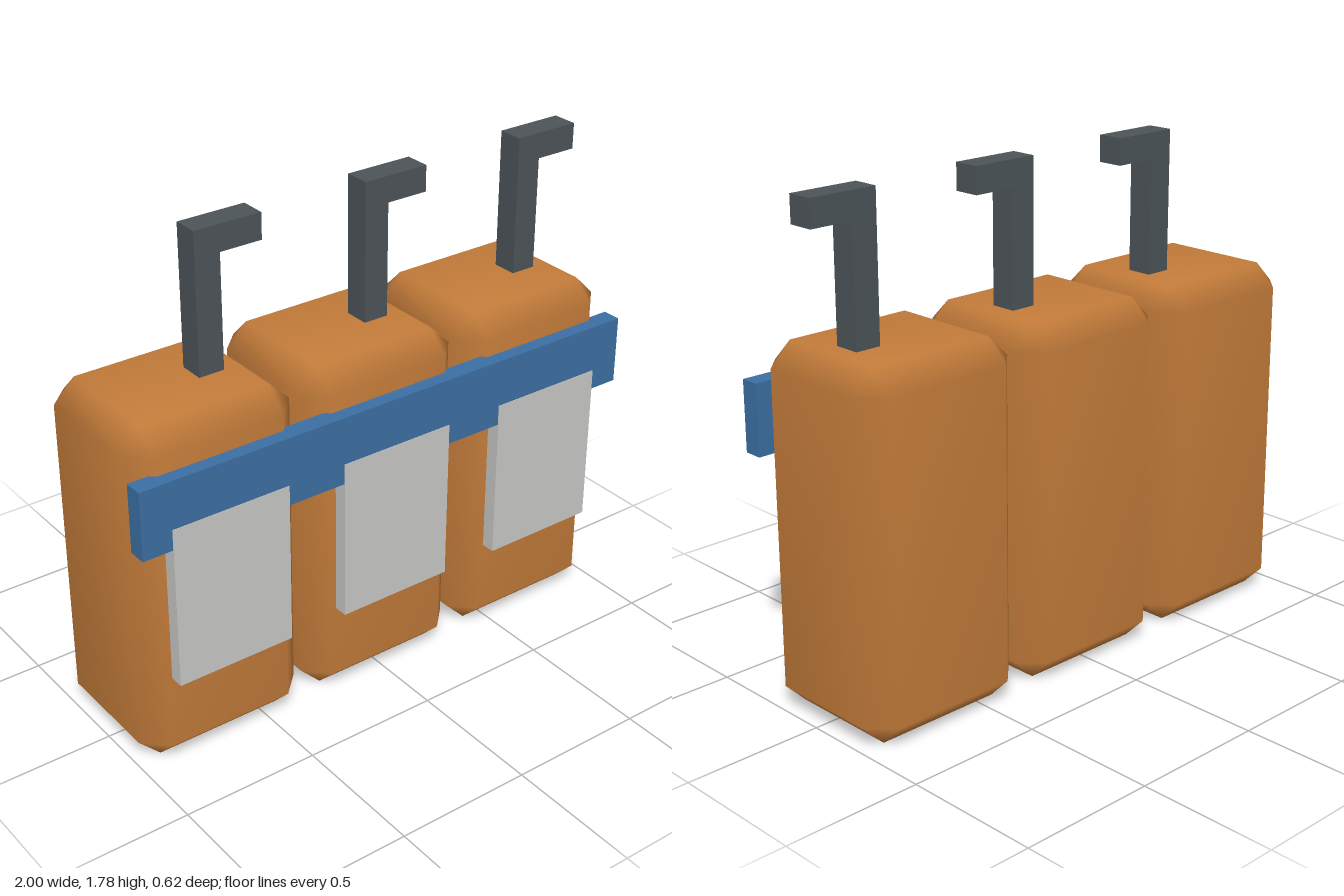
import * as THREE from 'three';
import { mergeVertices } from 'three/addons/utils/BufferGeometryUtils.js';
import { ConvexGeometry } from 'three/addons/geometries/ConvexGeometry.js';

const mat = (name, color) => {
  const m = new THREE.MeshStandardMaterial({ color });
  m.name = name;
  return m;
};

// Box with bevelled edges and corners, shaded smoothly across the bevels
function bevelledBox(w, h, d, b) {
  const half = [w / 2, h / 2, d / 2];
  const points = [];
  for (const sx of [-1, 1]) for (const sy of [-1, 1]) for (const sz of [-1, 1]) {
    for (let axis = 0; axis < 3; axis++) {
      const p = [sx, sy, sz].map((s, i) => s * (half[i] - (i === axis ? 0 : b)));
      points.push(new THREE.Vector3(...p));
    }
  }
  const geo = new ConvexGeometry(points);
  geo.deleteAttribute('normal');
  const smooth = mergeVertices(geo);
  smooth.computeVertexNormals();
  return smooth;
}

export function createModel() {
  const model = new THREE.Group();
  const brown = mat('copperBrown', 0xc47c3a);
  const blue = mat('strapBlue', 0x3c6fa3);
  const grey = mat('labelGrey', 0xc8c8c5);
  const dark = mat('darkSteel', 0x4c5458);

  const add = (parent, name, geo, material, x, y, z) => {
    const mesh = new THREE.Mesh(geo, material);
    mesh.name = name;
    mesh.position.set(x, y, z);
    parent.add(mesh);
  };

  const bodyGeo = bevelledBox(0.635, 1.27, 0.57, 0.08);
  const labelGeo = new THREE.BoxGeometry(0.444, 0.6, 0.062);

  // Hooked handle: upright with an arm toward +x
  const hook = new THREE.Shape([
    [0.079, 1.26], [0.174, 1.26], [0.174, 1.685], [0.333, 1.685], [0.333, 1.78], [0.079, 1.78],
  ].map(([x, y]) => new THREE.Vector2(x, y)));
  const hookGeo = new THREE.ExtrudeGeometry(hook, { depth: 0.095, bevelEnabled: false });

  // Three identical canisters in a row
  for (const x of [-0.667, 0, 0.667]) {
    const canister = new THREE.Group();
    canister.name = 'canister';
    canister.position.x = x;
    add(canister, 'body', bodyGeo, brown, 0, 0.635, -0.025);
    add(canister, 'label', labelGeo, grey, 0, 0.655, 0.281);
    add(canister, 'handle', hookGeo, dark, 0, 0, -0.074);
    model.add(canister);
  }

  // Strap across the front
  add(model, 'strap', new THREE.BoxGeometry(2, 0.25, 0.068), blue, 0, 1.005, 0.276);
  return model;
}
